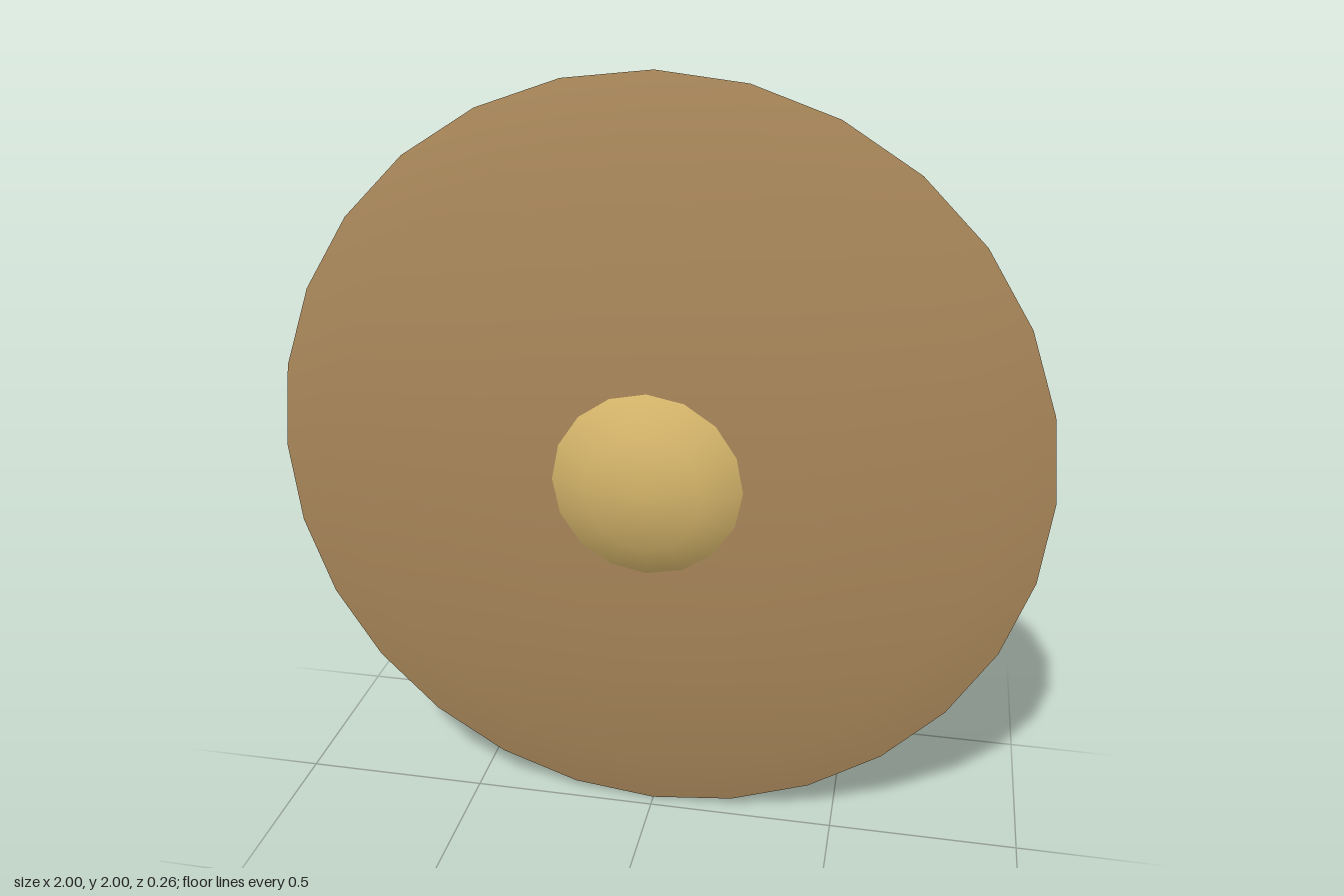
import * as THREE from 'three';
import { toCreasedNormals } from 'three/addons/utils/BufferGeometryUtils.js';

// Turned part: profile of [radius, z] from back to front, spun around the z axis
function turned(name, profile, sides, color) {
  const points = profile.map(([r, z]) => new THREE.Vector2(r, z));
  const lathe = new THREE.LatheGeometry(points, sides).rotateX(Math.PI / 2);
  const mesh = new THREE.Mesh(
    toCreasedNormals(lathe, 0.7),
    new THREE.MeshStandardMaterial({ color })
  );
  mesh.name = name;
  mesh.position.y = 1;
  return mesh;
}

export function createModel() {
  const group = new THREE.Group();
  group.name = 'roundShield';

  // Thin lens-shaped body with a sharp rim
  group.add(turned('shieldBody', [
    [0, -0.131], [0.4, -0.124], [0.85, -0.074], [1, -0.035],
    [0.85, 0.004], [0.4, 0.054], [0, 0.061],
  ], 28, 0xa9875a));

  // Domed boss, its base sunk into the body
  group.add(turned('boss', [
    [0, 0], [0.29, 0.02], [0.245, 0.056], [0.15, 0.112], [0, 0.131],
  ], 16, 0xd4b46a));

  return group;
}
